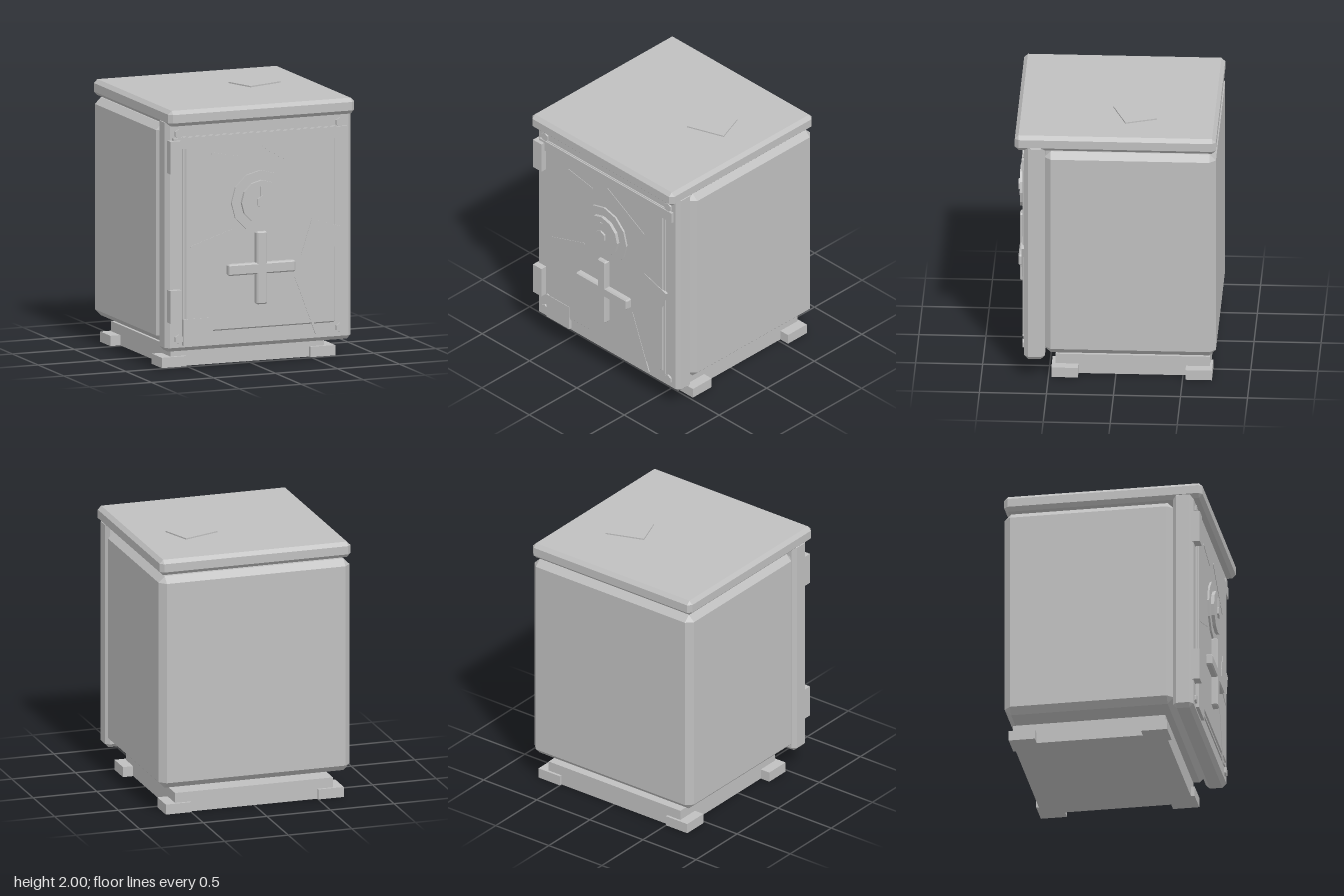
import * as THREE from 'three';
import { ConvexGeometry } from 'three/addons/geometries/ConvexGeometry.js';

// Box from its limits, with every edge cut at 45 degrees when c > 0
function block([x0, x1], [y0, y1], [z0, z1], c = 0) {
  const w = x1 - x0, h = y1 - y0, d = z1 - z0;
  let geometry;
  if (c > 0) {
    const pts = [];
    for (const i of [-1, 1]) for (const j of [-1, 1]) for (const k of [-1, 1]) {
      const X = w / 2, Y = h / 2, Z = d / 2;
      pts.push(new THREE.Vector3(i * X, j * (Y - c), k * (Z - c)));
      pts.push(new THREE.Vector3(i * (X - c), j * Y, k * (Z - c)));
      pts.push(new THREE.Vector3(i * (X - c), j * (Y - c), k * Z));
    }
    geometry = new ConvexGeometry(pts);
  } else {
    geometry = new THREE.BoxGeometry(w, h, d);
  }
  return geometry.translate((x0 + x1) / 2, (y0 + y1) / 2, (z0 + z1) / 2);
}

export function createModel() {
  const group = new THREE.Group();
  const steel = new THREE.MeshStandardMaterial({ color: 0xbfbfbf, flatShading: true });
  steel.name = 'grey steel';

  function add(name, geometry) {
    const mesh = new THREE.Mesh(geometry, steel);
    mesh.name = name;
    group.add(mesh);
    return mesh;
  }

  // Disc facing the front, one corner pointing up
  function disc(name, x, y, r, z0, z1, sides) {
    const g = new THREE.CylinderGeometry(r, r, z1 - z0, sides).rotateX(Math.PI / 2);
    g.rotateZ(Math.PI);
    add(name, g.translate(x, y, (z0 + z1) / 2));
  }

  // Main cabinet
  add('lid', block([-0.75, 0.75], [1.87, 1.99], [-0.75, 0.75], 0.028));
  add('body', block([-0.75, 0.75], [0.205, 1.855], [-0.75, 0.53], 0.048));
  add('frontFrame', block([-0.75, 0.75], [0.155, 1.92], [0.525, 0.68], 0.03));

  // Plinth and feet
  add('plinth', block([-0.62, 0.62], [0, 0.155], [-0.7, 0.45]));
  for (const s of [-1, 1]) {
    const x = s < 0 ? [-0.7, -0.5] : [0.5, 0.7];
    add('frontFoot', block(x, [0, 0.078], [0.28, 0.478]));
    add('backFoot', block(x, [0, 0.078], [-0.72, -0.522]));
  }

  // Door
  add('doorBackPlate', block([-0.62, 0.62], [0.277, 1.78], [0.66, 0.69]));
  add('doorPanel', block([-0.605, 0.605], [0.295, 1.775], [0.66, 0.7], 0.01));
  add('doorTopStrip', block([-0.7, 0.7], [1.69, 1.775], [0.66, 0.7]));
  add('cornerPatch', block([-0.62, -0.38], [0.2, 0.4], [0.66, 0.704]));

  // Hinges
  for (const y of [0.38, 1.51]) {
    add('hinge', block([-0.735, -0.645], [y, y + 0.247], [0.66, 0.73]));
  }

  // Corner bolts
  for (const x of [-0.65, 0.65]) for (const y of [0.25, 1.805]) {
    disc('bolt', x, y, 0.036, 0.66, 0.695, 6);
  }

  // Combination dial
  disc('dialRing', 0, 1.255, 0.235, 0.69, 0.715, 12);
  disc('dial', 0, 1.255, 0.163, 0.7, 0.74, 12);
  disc('dialHub', 0, 1.255, 0.048, 0.73, 0.755, 6);
  add('dialPointer', block([-0.012, 0.012], [1.29, 1.37], [0.73, 0.745]));

  // Cross handle
  add('handleBar', block([-0.27, 0.27], [0.71, 0.795], [0.69, 0.745], 0.01));
  add('handlePost', block([-0.043, 0.043], [0.48, 1.03], [0.69, 0.745], 0.01));

  // Tilted repair plates on the door and the lid
  const doorPatch = add('doorPatch', new THREE.BoxGeometry(0.24, 0.28, 0.02));
  doorPatch.position.set(0.488, 0.924, 0.694);
  doorPatch.rotation.z = -0.31;
  const lidPatch = add('lidPatch', new THREE.BoxGeometry(0.3, 0.02, 0.245));
  lidPatch.position.set(0.298, 1.99, -0.128);
  lidPatch.rotation.y = 0.35;

  // Thin raised scratches: start x, y, end x, y
  const scratches = [
    [-0.39, 1.64, -0.13, 1.59], [0.02, 1.67, 0.41, 1.44],
    [-0.56, 0.94, -0.22, 1.05], [0.28, 0.68, 0.455, 0.22],
  ];
  for (const [x0, y0, x1, y1] of scratches) {
    const length = Math.hypot(x1 - x0, y1 - y0);
    const scratch = add('scratch', new THREE.BoxGeometry(length, 0.018, 0.009));
    scratch.position.set((x0 + x1) / 2, (y0 + y1) / 2, 0.699);
    scratch.rotation.z = Math.atan2(y1 - y0, x1 - x0);
  }
  return group;
}
